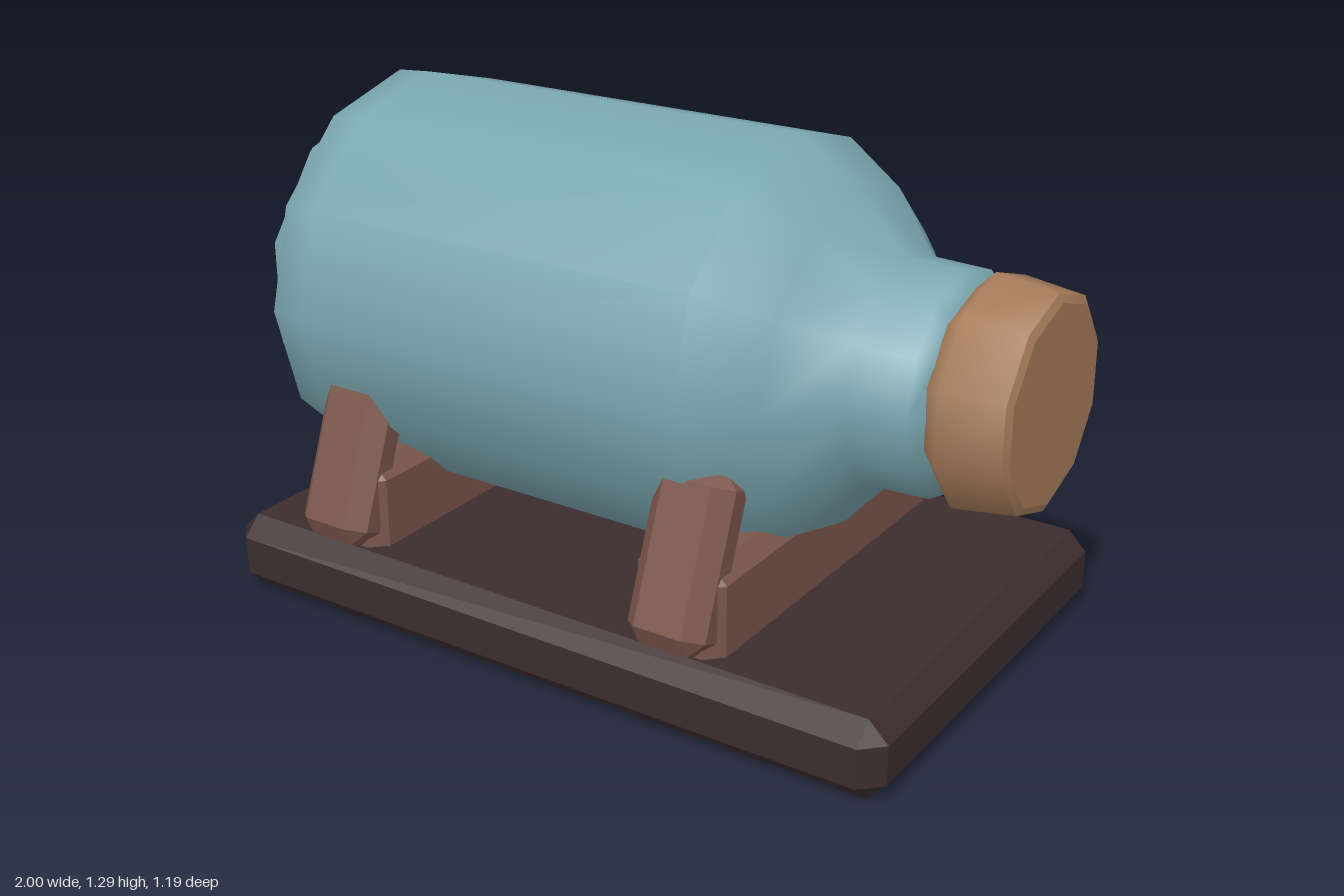
import * as THREE from 'three';
import { ConvexGeometry } from 'three/addons/geometries/ConvexGeometry.js';

const AXIS_Y = 0.77; // height of the bottle's axis

function paint(name, color) {
  const m = new THREE.MeshStandardMaterial({ color });
  m.name = name;
  return m;
}

// Box with every edge and corner cut by a bevel
function bevelBox(w, h, d, b) {
  const pts = [];
  const s = [-1, 1];
  for (const i of s) for (const j of s) for (const k of s) {
    const x = w / 2, y = h / 2, z = d / 2;
    pts.push(
      new THREE.Vector3(i * x, j * (y - b), k * (z - b)),
      new THREE.Vector3(i * (x - b), j * y, k * (z - b)),
      new THREE.Vector3(i * (x - b), j * (y - b), k * z));
  }
  return new ConvexGeometry(pts);
}

// Turned part lying along x; each profile is a list of [x, radius] and
// creases form between separate profiles
function turned(name, material, sides, profiles) {
  const group = new THREE.Group();
  group.name = name;
  profiles.forEach((profile, i) => {
    const pts = profile.map(([x, r]) => new THREE.Vector2(r, x));
    const geo = new THREE.LatheGeometry(pts, sides, Math.PI / 2);
    geo.rotateZ(-Math.PI / 2);
    const mesh = new THREE.Mesh(geo, material);
    mesh.name = name + 'Surface' + (i + 1);
    group.add(mesh);
  });
  group.position.y = AXIS_Y;
  return group;
}

export function createModel() {
  const model = new THREE.Group();
  model.name = 'bottleOnStand';
  const glass = paint('blue glass', 0x7ba7b0);
  const corkTan = paint('cork tan', 0xa67c5b);
  const wood = paint('reddish wood', 0x7b564b);
  const darkWood = paint('dark wood', 0x3c2d2e);

  // Bottle body, shoulder and neck
  model.add(turned('bottleBody', glass, 12, [
    [[-0.93, 0.42], [-0.86, 0.513], [-0.77, 0.52], [0.33, 0.52], [0.49, 0.42],
      [0.62, 0.275], [0.77, 0.27], [0.8, 0.225]],
    [[0.8, 0.225], [0.8, 0]],
  ]));

  // Raised disc at the bottle's end
  model.add(turned('bottleEnd', glass, 10, [
    [[-0.97, 0], [-0.97, 0.405]],
    [[-0.97, 0.405], [-0.945, 0.43], [-0.9, 0.45]],
  ]));

  // Cork
  model.add(turned('cork', corkTan, 10, [
    [[0.795, 0], [0.795, 0.235]],
    [[0.795, 0.235], [0.84, 0.28], [0.99, 0.26]],
    [[0.99, 0.26], [1, 0.24]],
    [[1, 0.24], [1, 0]],
  ]));

  // Base board
  const base = new THREE.Mesh(bevelBox(1.9, 0.2, 1.18, 0.05), darkWood);
  base.name = 'baseBoard';
  base.position.set(-0.05, 0.1, 0);
  model.add(base);

  // Two cradles, each a cross block with a leaning post at either end
  const blockGeo = bevelBox(0.24, 0.28, 1.06, 0.04);
  const postGeo = bevelBox(0.21, 0.435, 0.134, 0.042);
  for (const x of [-0.66, 0.34]) {
    const cradle = new THREE.Group();
    cradle.name = x < 0 ? 'rearCradle' : 'neckCradle';
    cradle.position.x = x;
    const block = new THREE.Mesh(blockGeo, wood);
    block.name = 'crossBlock';
    block.position.y = 0.28;
    cradle.add(block);
    for (const side of [-1, 1]) {
      const post = new THREE.Mesh(postGeo, wood);
      post.name = side > 0 ? 'frontPost' : 'backPost';
      post.position.set(0, 0.413, side * 0.469);
      post.rotation.x = -side * 0.366;
      cradle.add(post);
    }
    model.add(cradle);
  }
  return model;
}
